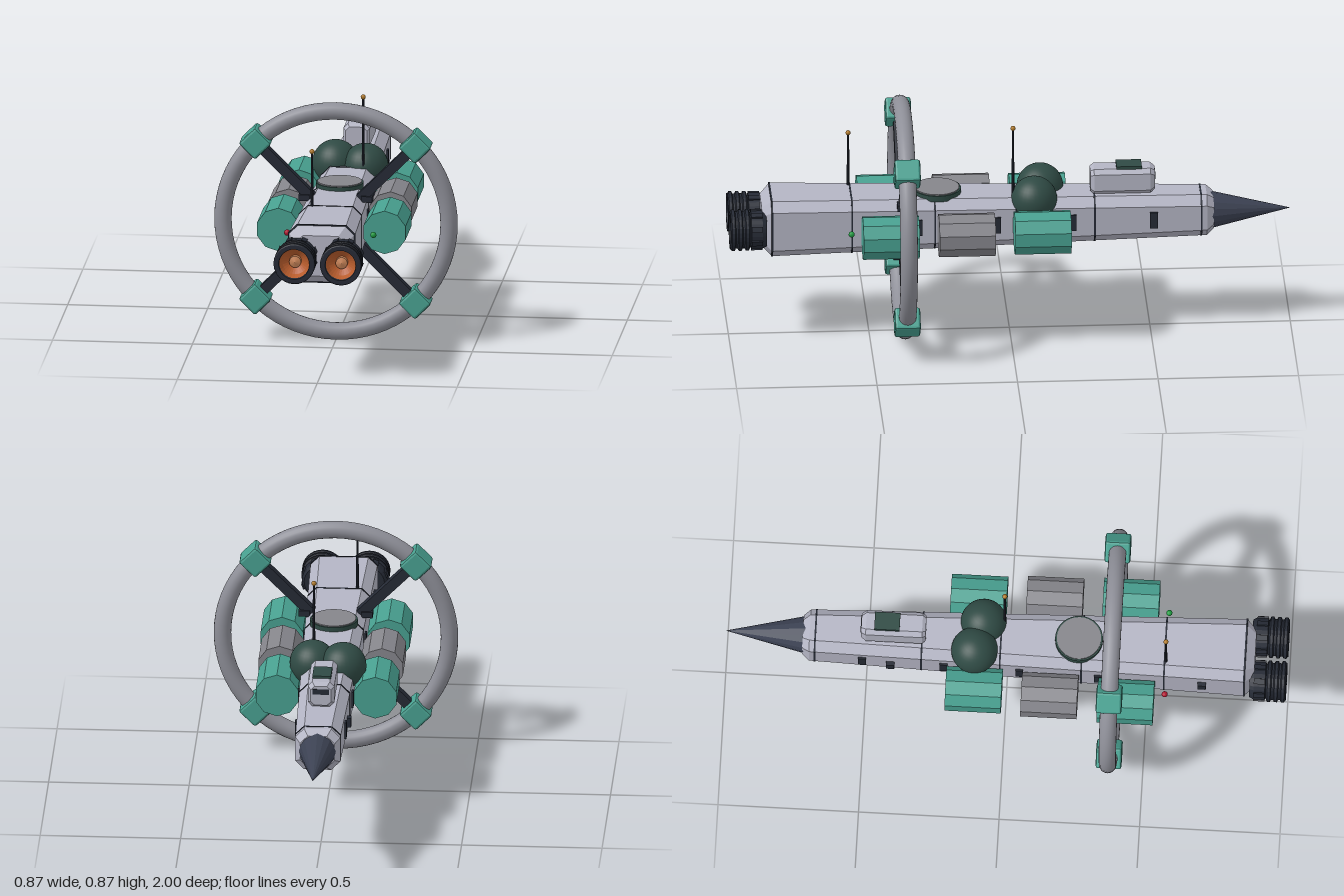
import * as THREE from 'three';
import { RoundedBoxGeometry } from 'three/addons/geometries/RoundedBoxGeometry.js';

const AXIS = 0.44; // height of the ship's long axis
const RING_Z = 0.38;

const paint = (color, flat = true) =>
  new THREE.MeshStandardMaterial({ color, flatShading: flat, side: THREE.DoubleSide });
const hullPaint = paint(0xb4b5c4);
const teal = paint(0x48a090);
const grey = paint(0x85858b);
const ringGrey = paint(0x8e8f98, false);
const dark = paint(0x252a35);
const nosePaint = paint(0x3b4152);
const domePaint = paint(0x2f4a44, false);
const orange = paint(0xb85c2c);
const copper = paint(0xc98458);
const gold = paint(0xb07a2a, false);

// Chamfered-rectangle cross-section, counter-clockwise seen from +z
function section(z, w, h, c, y = AXIS) {
  return [[w, c - h], [w, h - c], [w - c, h], [c - w, h], [-w, h - c], [-w, c - h], [c - w, -h], [w - c, -h]]
    .map(([px, py]) => [px, py + y, z]);
}

// Skin a list of sections ordered by rising z, with both ends capped
function loft(sections) {
  const pos = [];
  const tri = (a, b, c) => pos.push(...a, ...b, ...c);
  const n = sections[0].length;
  for (let s = 0; s < sections.length - 1; s++) {
    for (let i = 0; i < n; i++) {
      const j = (i + 1) % n;
      const [p, q] = [sections[s], sections[s + 1]];
      tri(p[i], p[j], q[j]);
      tri(p[i], q[j], q[i]);
    }
  }
  const first = sections[0], last = sections[sections.length - 1];
  for (let i = 1; i < n - 1; i++) {
    tri(first[0], first[i + 1], first[i]);
    tri(last[0], last[i], last[i + 1]);
  }
  const g = new THREE.BufferGeometry();
  g.setAttribute('position', new THREE.Float32BufferAttribute(pos, 3));
  g.computeVertexNormals();
  return g;
}

const halfWidth = z => 0.08 + 0.039 * (z + 0.7) / 1.55;
const halfHeight = z => 0.078 + 0.027 * (z + 0.7) / 1.55;
const hullSection = (z, grow = 0) => section(z, halfWidth(z) + grow, halfHeight(z) + grow, 0.032);

export function createModel() {
  const model = new THREE.Group();
  const add = (name, geometry, material, x = 0, y = 0, z = 0, parent = model) => {
    const mesh = new THREE.Mesh(geometry, material);
    mesh.name = name;
    mesh.position.set(x, y, z);
    parent.add(mesh);
    return mesh;
  };

  // Tapered hull with bevelled ends and panel seams
  add('hull', loft([
    section(-0.725, 0.062, 0.06, 0.028), hullSection(-0.7), hullSection(0.85),
    section(0.885, 0.088, 0.074, 0.025),
  ]), hullPaint);
  for (const z of [-0.68, -0.3, -0.02, 0.27, 0.565, 0.85]) {
    add('hullSeam', loft([hullSection(z - 0.003, 0.0015), hullSection(z + 0.003, 0.0015)]), dark);
  }

  // Nose cone
  add('noseCone', new THREE.ConeGeometry(0.067, 0.285, 16).rotateX(-Math.PI / 2), nosePaint, 0, AXIS, -0.8575);

  // Bridge with roof hatch and windows
  add('bridge', loft([
    section(-0.517, 0.036, 0.036, 0.014, 0.57), section(-0.5, 0.047, 0.047, 0.016, 0.57),
    section(-0.3, 0.047, 0.047, 0.016, 0.57), section(-0.287, 0.038, 0.038, 0.014, 0.57),
  ]), hullPaint);
  add('bridgeHatch', new THREE.BoxGeometry(0.066, 0.012, 0.09), domePaint, 0, 0.62, -0.425);
  add('bridgeWindow', new THREE.BoxGeometry(0.06, 0.02, 0.006), dark, 0, 0.585, -0.516);

  // Twin sensor domes
  add('domeRight', new THREE.SphereGeometry(0.083, 32, 20), domePaint, -0.055, 0.523, -0.112);
  add('domeLeft', new THREE.SphereGeometry(0.082, 32, 20), domePaint, 0.055, 0.52, -0.085);

  // Round hatches on the back and belly
  for (const [name, side, z] of [['topHatch', 1, 0.257], ['bellyHatch', -1, 0.14]]) {
    const y = AXIS + side * (halfHeight(z) + 0.004);
    add(name + 'Rim', new THREE.CylinderGeometry(0.085, 0.085, 0.022, 32), domePaint, 0, y, z);
    add(name, new THREE.CylinderGeometry(0.079, 0.079, 0.03, 32), grey, 0, y, z);
  }

  // Three ten-sided cargo pods along each flank
  for (const side of [-1, 1]) {
    for (const [name, x, z, mat] of [
      ['frontPod', 0.175, -0.108, teal], ['middlePod', 0.182, 0.162, grey], ['rearPod', 0.19, 0.433, teal],
    ]) {
      add(name, new THREE.CylinderGeometry(0.079, 0.079, 0.2, 10).rotateX(Math.PI / 2), mat, side * x, AXIS, z);
    }
  }

  // Habitat ring with diagonal spokes and clamps
  const wheel = new THREE.Group();
  wheel.name = 'ringAssembly';
  wheel.position.set(0, 0.4375, RING_Z);
  model.add(wheel);
  add('ring', new THREE.TorusGeometry(0.404, 0.031, 20, 72), ringGrey, 0, 0, 0, wheel);
  for (let i = 0; i < 4; i++) {
    const arm = new THREE.Group();
    arm.name = 'spokeArm';
    arm.rotation.z = Math.PI / 4 + i * Math.PI / 2;
    wheel.add(arm);
    add('spoke', new THREE.BoxGeometry(0.36, 0.036, 0.036), dark, 0.2, 0, 0, arm);
    add('clamp', new RoundedBoxGeometry(0.084, 0.084, 0.092, 1, 0.009), teal, 0.404, 0, 0, arm);
  }

  // Twin ribbed engines with glowing bells
  const shell = [[0, 0.87], [0.06, 0.87], [0.068, 0.885], [0.068, 0.925], [0.06, 0.928]];
  for (const z of [0.93, 0.955, 0.98]) shell.push([0.066, z], [0.074, z + 0.004], [0.074, z + 0.014], [0.066, z + 0.018]);
  shell.push([0.07, 1.0], [0.055, 1.0], [0.053, 0.985]);
  const lathe = pts =>
    new THREE.LatheGeometry(pts.map(p => new THREE.Vector2(...p)), 28).rotateX(Math.PI / 2);
  for (const side of [-1, 1]) {
    const engine = new THREE.Group();
    engine.name = side < 0 ? 'rightEngine' : 'leftEngine';
    engine.position.set(side * 0.083, 0.437, 0);
    model.add(engine);
    add('engineShell', lathe(shell), dark, 0, 0, 0, engine);
    add('engineBell', lathe([[0.054, 0.99], [0.045, 0.965], [0.021, 0.945], [0, 0.945]]), orange, 0, 0, 0, engine);
    add('engineCore', lathe([[0.021, 0.944], [0.021, 0.965], [0, 0.972]]), copper, 0, 0, 0, engine);
    for (let k = 0; k < 8; k++) {
      const a = (k + 0.5) * Math.PI / 4;
      const block = add('engineBlock', new THREE.BoxGeometry(0.012, 0.02, 0.04), dark,
        0.067 * Math.cos(a), 0.067 * Math.sin(a), 0.905, engine);
      block.rotation.z = a;
    }
  }

  // Antennas with ball tips
  for (const [x, z, top] of [[-0.065, 0.57, 0.74], [0.055, -0.01, 0.793]]) {
    const base = AXIS + halfHeight(z) - 0.01;
    add('antennaRod', new THREE.CylinderGeometry(0.004, 0.005, top - base, 8), dark, x, (top + base) / 2, z);
    add('antennaTip', new THREE.SphereGeometry(0.009, 12, 8), gold, x, top, z);
  }

  // Running lights: red on the right, green on the left
  add('redLight', new THREE.SphereGeometry(0.011, 12, 8), paint(0xb01830, false), -0.154, AXIS, 0.57);
  add('greenLight', new THREE.SphereGeometry(0.011, 12, 8), paint(0x1e9a40, false), 0.154, AXIS, 0.57);

  // Dark vents and service boxes on both flanks
  for (const side of [-1, 1]) {
    for (const z of [-0.51, -0.22, 0.05, 0.33]) {
      add('sideVent', new THREE.BoxGeometry(0.014, 0.06, 0.028), dark, side * halfWidth(z), AXIS, z);
    }
    add('spokeSocket', new THREE.BoxGeometry(0.04, 0.022, 0.05), dark, side * 0.112, 0.525, RING_Z);
  }
  for (const [z, y] of [[-0.41, 0.43], [0.7, 0.46]]) {
    add('serviceBox', new THREE.BoxGeometry(0.03, 0.035, 0.03), dark, -halfWidth(z), y, z);
  }
  return model;
}
